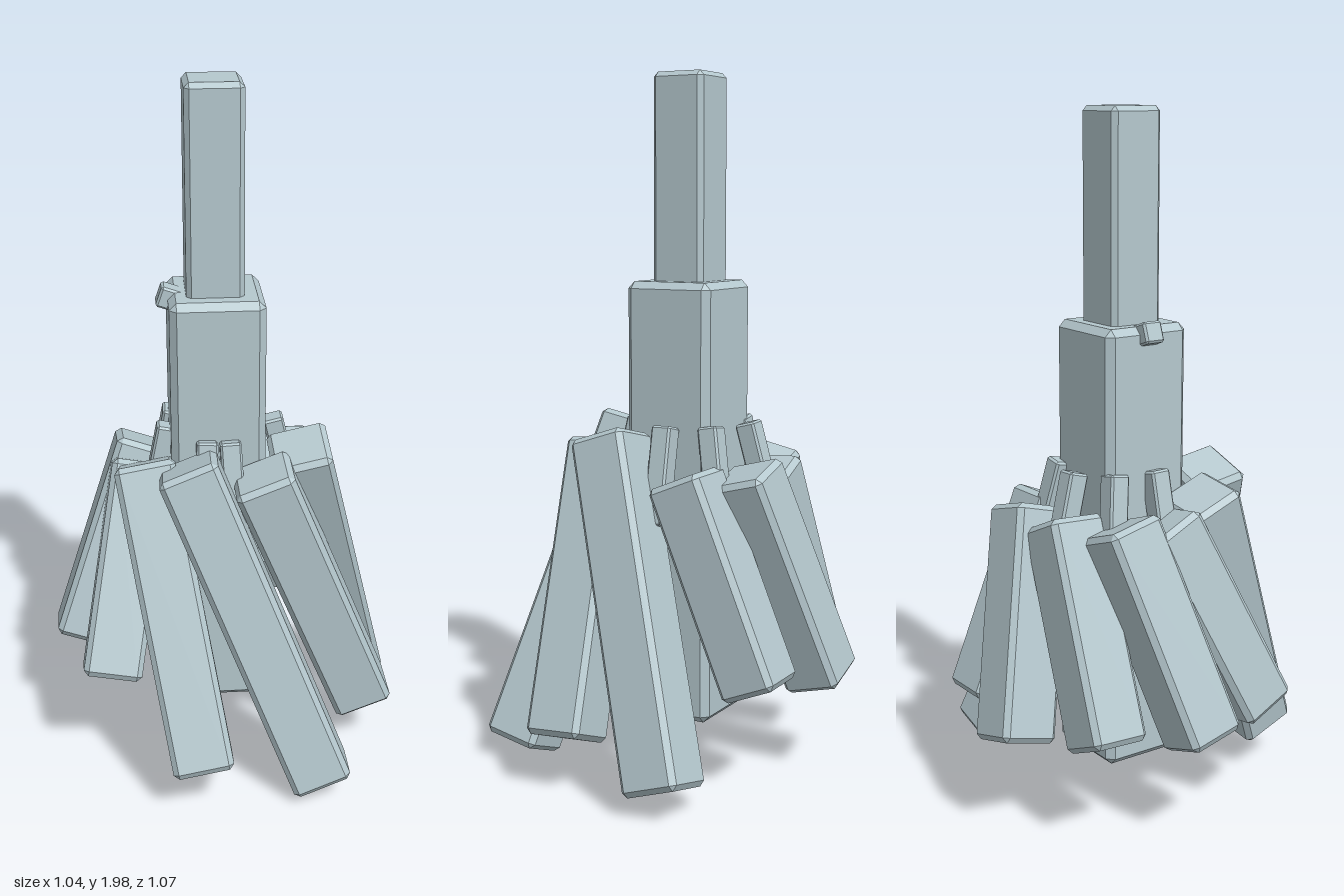
import * as THREE from 'three';
import { ConvexGeometry } from 'three/addons/geometries/ConvexGeometry.js';

// Box with a single flat chamfer on every edge
function chamferBox(w, h, d, b) {
  const pts = [];
  for (const x of [-w / 2, w / 2]) for (const y of [-h / 2, h / 2]) for (const z of [-d / 2, d / 2]) {
    const sx = Math.sign(x) * b, sy = Math.sign(y) * b, sz = Math.sign(z) * b;
    pts.push(new THREE.Vector3(x, y - sy, z - sz));
    pts.push(new THREE.Vector3(x - sx, y, z - sz));
    pts.push(new THREE.Vector3(x - sx, y - sy, z));
  }
  return new ConvexGeometry(pts);
}

export function createModel() {
  const group = new THREE.Group();
  const stone = new THREE.MeshStandardMaterial({ color: 0xb5c8ce, flatShading: true });
  stone.name = 'paleBlueGrey';
  const up = new THREE.Vector3(0, 1, 0);
  const yaw = new THREE.Quaternion().setFromAxisAngle(up, Math.PI / 4);

  // Square beam between two end centres, its corners turned to the front
  function beam(name, bottom, top, size, bevel) {
    const a = new THREE.Vector3(...bottom), b = new THREE.Vector3(...top);
    const mesh = new THREE.Mesh(chamferBox(size, a.distanceTo(b), size, bevel), stone);
    mesh.name = name;
    mesh.position.copy(a).add(b).multiplyScalar(0.5);
    mesh.quaternion.setFromUnitVectors(up, b.sub(a).normalize()).multiply(yaw);
    group.add(mesh);
  }

  // Central column and handle
  beam('column', [-0.03, 0.16, -0.043], [-0.03, 1.42, -0.043], 0.265, 0.02);
  beam('handle', [-0.03, 1.38, -0.047], [-0.03, 2, -0.047], 0.16, 0.014);

  // Long outer beams, front and left side of the swirl
  const long = [
    [[-0.125, 0.06, 0.44], [-0.26, 0.99, 0.05]],
    [[-0.4, 0.145, 0.23], [-0.26, 0.95, -0.11]],
    [[0.165, 0.165, 0.365], [-0.1, 0.95, 0.185]],
    [[0.42, 0.085, 0.15], [0.04, 0.99, 0.205]],
  ];
  long.forEach(([b, t]) => beam('longBeam', b, t, 0.172, 0.015));

  // Shorter beams closing the swirl around the back
  const short = [
    [[-0.43, 0.33, -0.1], [-0.17, 0.89, -0.21]],
    [[-0.31, 0.32, -0.34], [-0.07, 0.9, -0.29]],
    [[-0.06, 0.32, -0.43], [0.1, 0.89, -0.23]],
    [[0.21, 0.29, -0.375], [0.215, 0.9, -0.135]],
    [[0.355, 0.32, -0.14], [0.19, 0.89, 0.03]],
  ];
  short.forEach(([b, t]) => beam('shortBeam', b, t, 0.168, 0.015));

  // Thin slats wedged between column and beams
  const slats = [[0.075, -0.19], [0.14, -0.06], [0.1, 0.06], [-0.11, 0.08],
    [-0.15, 0.03], [-0.14, -0.13], [-0.04, -0.2]];
  slats.forEach(([x, z]) => {
    const dx = x + 0.03, dz = z + 0.043;
    beam('slat', [x + dx * 0.4, 0.75, z + dz * 0.4], [x, 1.02, z], 0.06, 0.006);
  });

  // Small peg at the top of the column
  beam('peg', [-0.09, 1.385, -0.105], [-0.14, 1.41, -0.155], 0.06, 0.006);

  return group;
}
